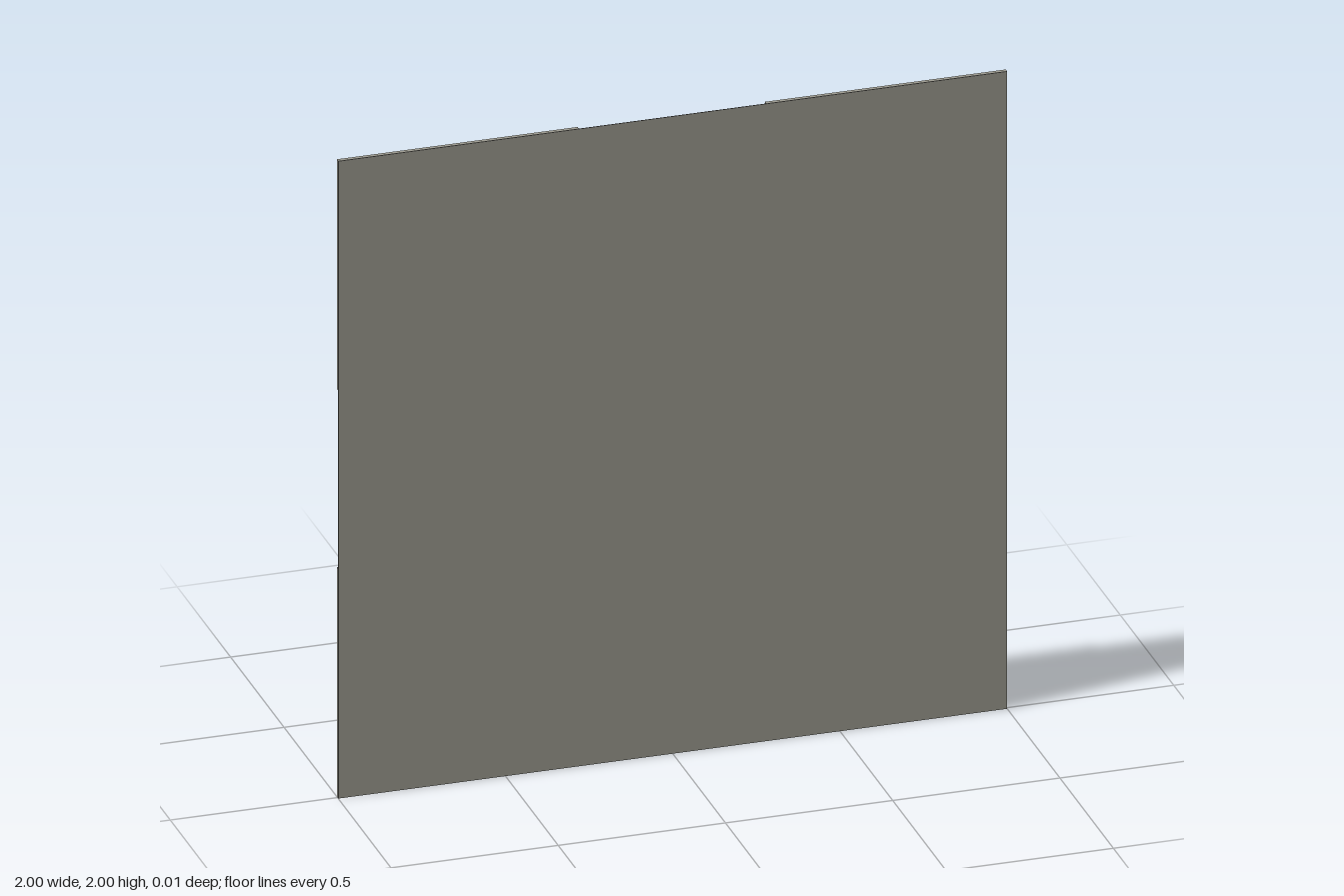
import * as THREE from 'three';

const FRONT = 0.007;   // front plane of the panel
const SHEET = 0.002;   // sheet thickness
const ARM = 0.72;      // bracket arm length
const WIDTH = 0.155;   // bracket arm width

export function createModel() {
  const model = new THREE.Group();
  model.name = 'panel';

  const grey = new THREE.MeshStandardMaterial({ color: 0x9e9c91 });
  grey.name = 'warm grey';
  const dark = new THREE.MeshStandardMaterial({ color: 0x2b2b2b });
  dark.name = 'dark backing';

  // thin square sheet: grey front, dark edges and back
  const sheet = new THREE.Mesh(
    new THREE.BoxGeometry(2, 2, SHEET),
    [dark, dark, dark, dark, grey, dark]
  );
  sheet.name = 'frontSheet';
  sheet.position.set(0, 1, FRONT - SHEET / 2);
  model.add(sheet);

  // L-shaped bracket with its outer corner at (1, 1)
  const inner = 1 - WIDTH, end = 1 - ARM;
  const profile = new THREE.Shape([
    [1, 1], [end, 1], [end, inner], [inner, inner], [inner, end], [1, end],
  ].map(([x, y]) => new THREE.Vector2(x, y)));
  const bracketGeometry = new THREE.ExtrudeGeometry(profile, {
    depth: 2 * FRONT - SHEET,
    bevelEnabled: false,
  });

  // one bracket behind each corner
  const names = ['topLeft', 'topRight', 'bottomRight', 'bottomLeft'];
  names.forEach((name, i) => {
    const bracket = new THREE.Mesh(bracketGeometry, grey);
    bracket.name = name + 'Bracket';
    bracket.position.set(0, 1, -FRONT);
    bracket.rotation.z = i * Math.PI / 2;
    model.add(bracket);
  });

  return model;
}
